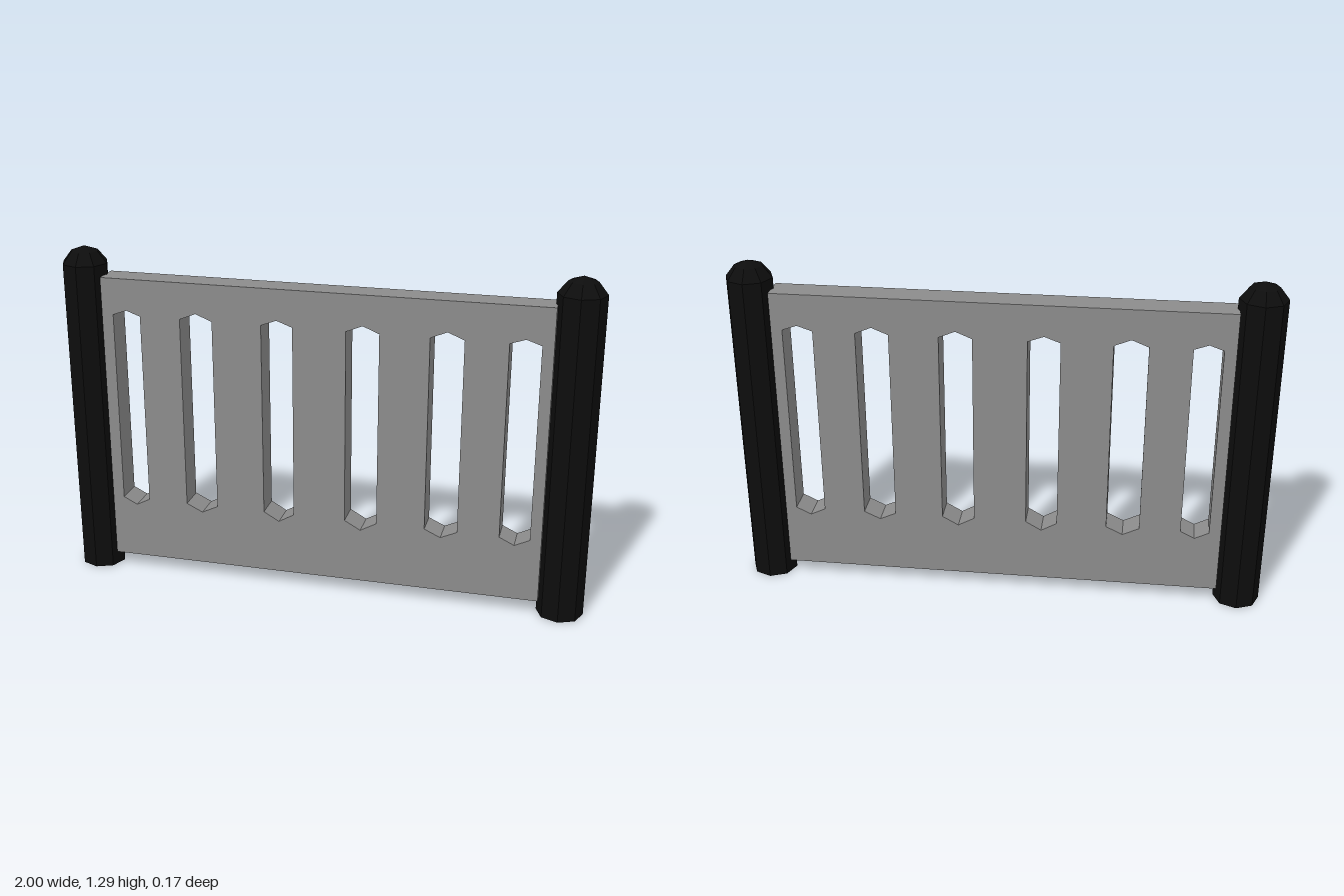
import * as THREE from 'three';

const grey = new THREE.MeshStandardMaterial({ color: 0x8c8c8c });
grey.name = 'panelGrey';
const black = new THREE.MeshStandardMaterial({ color: 0x0d0d0d });
black.name = 'postBlack';

// Closed outline through [x, y] points
const outline = (Type, pts) => new Type(pts.map(([x, y]) => new THREE.Vector2(x, y)));

// Upright slot with a pointed top and bottom
function slot(left, right, bottom, top) {
  const mid = (left + right) / 2;
  return outline(THREE.Path, [
    [left, 0.305], [left, 1.045], [mid, top], [right, 1.045], [right, 0.305], [mid, bottom],
  ]);
}

// Eight-sided post with a faceted domed cap
function createPost(x) {
  const profile = [[0, 0], [0.087, 0], [0.087, 1.225], [0.052, 1.269], [0, 1.288]]
    .map(([r, y]) => new THREE.Vector2(r, y));
  const geometry = new THREE.LatheGeometry(profile, 8).toNonIndexed();
  geometry.computeVertexNormals();
  const post = new THREE.Mesh(geometry, black);
  post.position.x = x;
  return post;
}

// Thick panel pierced by a row of slots
function createPanel() {
  const shape = outline(THREE.Shape, [
    [-0.834, 0.06], [0.834, 0.06], [0.834, 1.184], [-0.834, 1.184],
  ]);
  const slots = [
    [-0.79, -0.684, 0.278, 1.064], [-0.529, -0.405, 0.275, 1.07], [-0.218, -0.1, 0.271, 1.067],
    [0.098, 0.22, 0.271, 1.07], [0.402, 0.524, 0.277, 1.07], [0.68, 0.792, 0.278, 1.064],
  ];
  for (const s of slots) shape.holes.push(slot(...s));
  const depth = 0.106;
  const geometry = new THREE.ExtrudeGeometry(shape, { depth, bevelEnabled: false });
  geometry.translate(0, 0, -depth / 2);
  return new THREE.Mesh(geometry, grey);
}

export function createModel() {
  const model = new THREE.Group();
  model.name = 'fenceSection';

  const panel = createPanel();
  panel.name = 'slottedPanel';
  model.add(panel);

  for (const side of [-1, 1]) {
    const post = createPost(side * 0.913);
    post.name = side > 0 ? 'leftPost' : 'rightPost';
    model.add(post);
  }
  return model;
}
